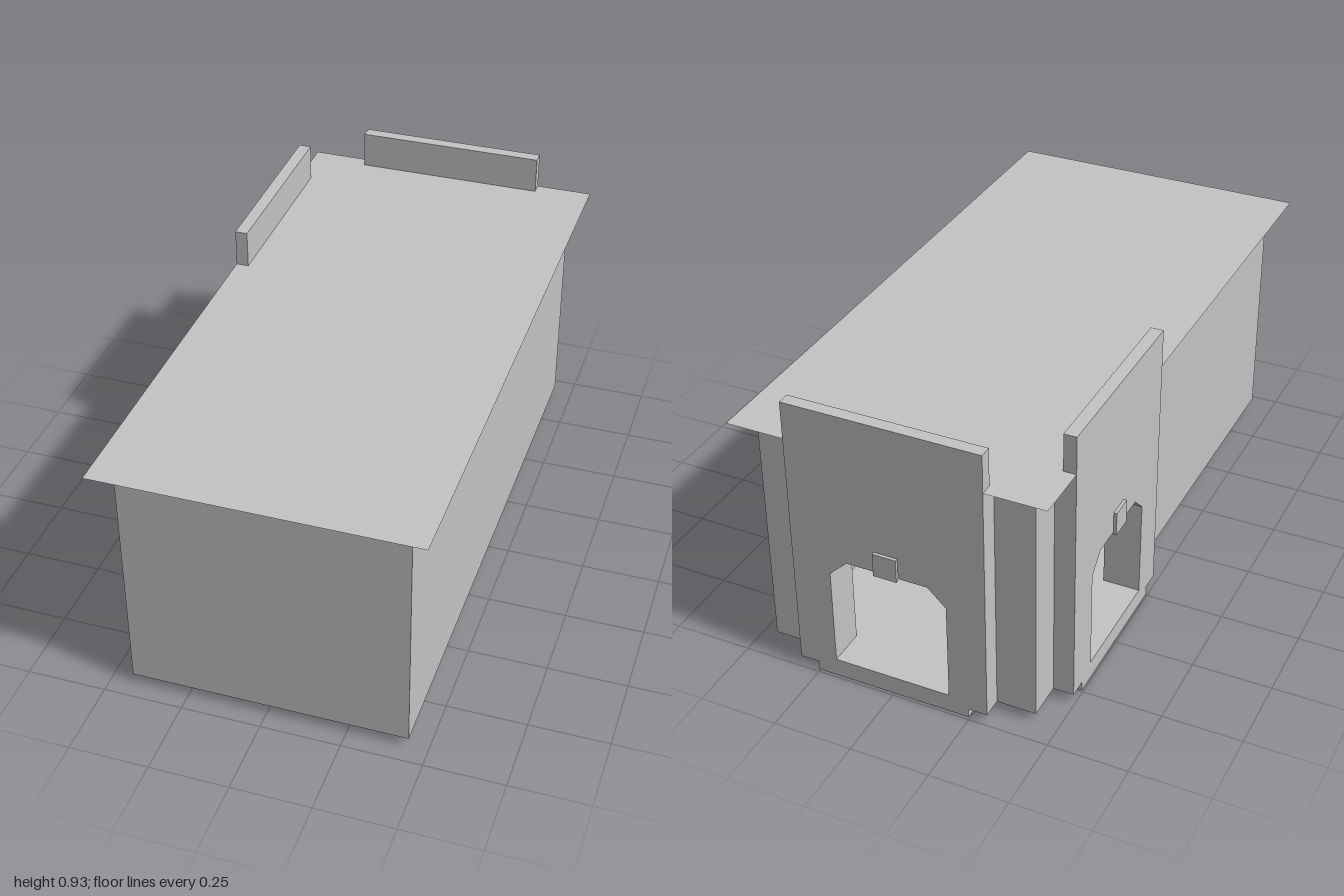
import * as THREE from 'three';

export function createModel() {
  const model = new THREE.Group();
  const grey = new THREE.MeshStandardMaterial({ color: 0xc4c4c4 });
  grey.name = 'plain grey';
  const greySheet = new THREE.MeshStandardMaterial({ color: 0xc4c4c4, side: THREE.DoubleSide });
  greySheet.name = 'plain grey sheet';

  const add = (parent, name, geometry, material = grey) => {
    const mesh = new THREE.Mesh(geometry, material);
    mesh.name = name;
    parent.add(mesh);
    return mesh;
  };
  // box given by its limits on each axis
  const block = (parent, name, x0, x1, y0, y1, z0, z1) =>
    add(parent, name, new THREE.BoxGeometry(x1 - x0, y1 - y0, z1 - z0)
      .translate((x0 + x1) / 2, (y0 + y1) / 2, (z0 + z1) / 2));
  const points = list => list.map(([x, y]) => new THREE.Vector2(x, y));

  // upright slab with a chamfered doorway centred on x = 0
  const doorway = [[-0.187, 0.06], [-0.187, 0.38], [-0.13, 0.435], [0.13, 0.435], [0.187, 0.38], [0.187, 0.06]];
  const doorSlab = (x0, x1, z0, z1) => {
    const shape = new THREE.Shape(points([[x0, 0.03], [x1, 0.03], [x1, 0.81], [x0, 0.81]]));
    shape.holes.push(new THREE.Path(points(doorway)));
    return new THREE.ExtrudeGeometry(shape, { depth: z1 - z0, bevelEnabled: false }).translate(0, 0, z0);
  };

  // solid body, with the L-shaped passage cut from its back corner
  const plan = [[-0.43, 0.94], [0.44, 0.94], [0.44, -0.925], [0.365, -0.925],
    [0.365, -0.567], [-0.07, -0.567], [-0.07, -0.12], [-0.43, -0.12]];
  const bodyShape = new THREE.Shape(points(plan.map(([x, z]) => [x, -z])));
  add(model, 'body', new THREE.ExtrudeGeometry(bodyShape, { depth: 0.78, bevelEnabled: false })
    .rotateX(-Math.PI / 2).translate(0, 0.03, 0));
  block(model, 'passageFloor', -0.4, 0.4, 0.03, 0.06, -0.9, -0.1);
  block(model, 'passageCeiling', -0.4, 0.4, 0.45, 0.805, -0.9, -0.1);

  // recessed base and overhanging sheet roof
  block(model, 'base', -0.37, 0.38, 0, 0.032, -0.86, 0.88);
  add(model, 'roof', new THREE.PlaneGeometry(0.995, 1.99).rotateX(-Math.PI / 2)
    .translate(0.0025, 0.811, 0.005), greySheet);

  // two matching entrances, each facing local +z
  const entrance = (name, wall0, wall1, x, z, turn) => {
    const group = new THREE.Group();
    group.name = name;
    add(group, 'entranceWall', doorSlab(wall0, wall1, -0.055, 0));
    add(group, 'entrancePanel', doorSlab(-0.31, 0.31, 0, 0.065));
    block(group, 'parapet', -0.31, 0.31, 0.81, 0.932, 0.025, 0.065);
    block(group, 'keystone', -0.0375, 0.0375, 0.428, 0.505, 0.065, 0.075);
    block(group, 'footing', -0.25, 0.25, 0, 0.03, -0.08, 0.065);
    group.position.set(x, 0, z);
    group.rotation.y = turn;
    model.add(group);
  };
  entrance('backEntrance', -0.36, 0.435, 0.005, -0.925, Math.PI);
  entrance('sideEntrance', -0.43, 0.375, -0.43, -0.495, -Math.PI / 2);

  return model;
}
